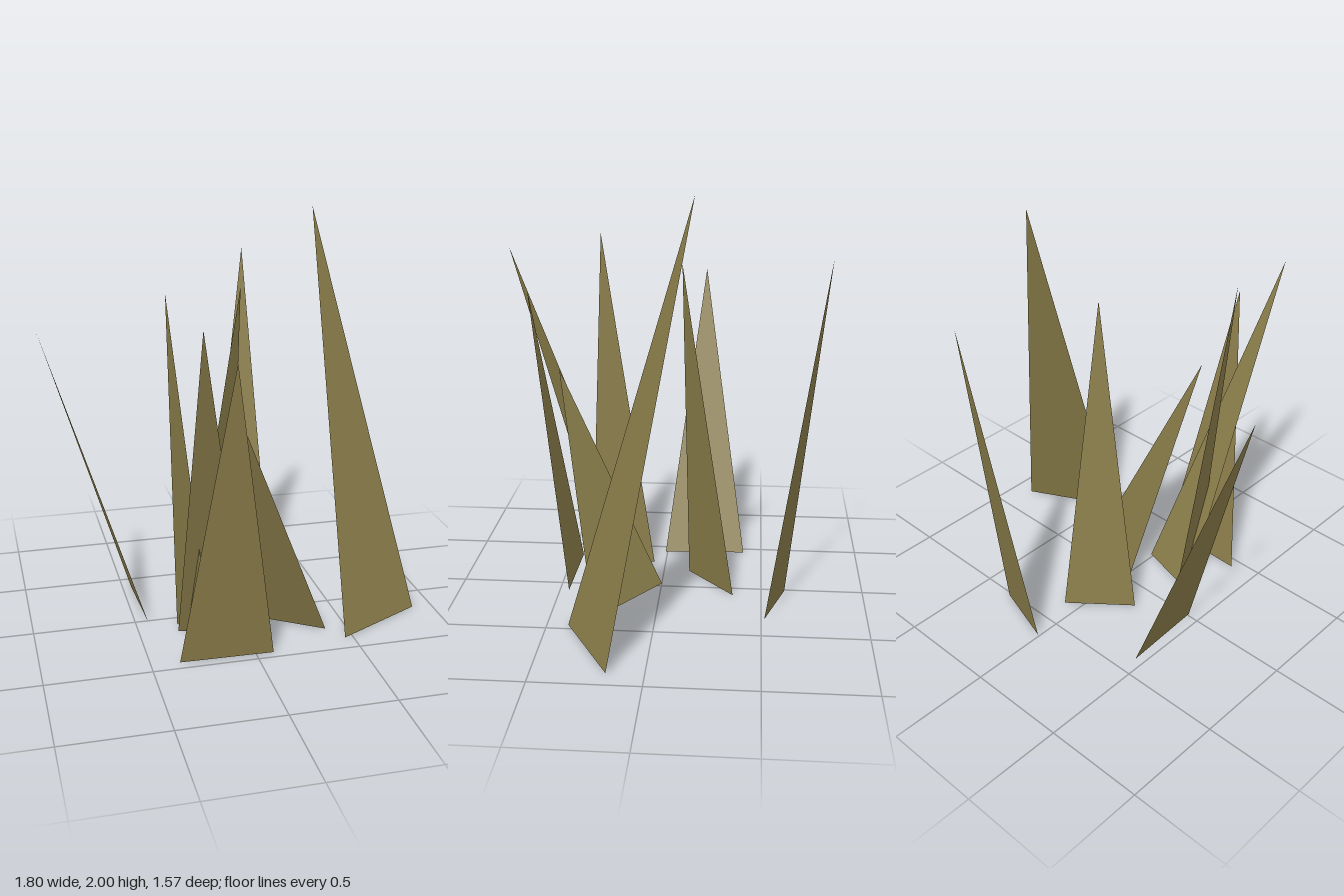
import * as THREE from 'three';

// Each blade: base corner (x, z), base corner (x, z), tip (x, y, z)
const BLADES = [
  [[0.01, -0.615], [0.33, -0.515], [0.24, 1.71, -0.785]],
  [[-0.437, 0.01], [-0.455, -0.405], [-0.9, 1.46, -0.178]],
  [[-0.195, -0.13], [0.08, -0.36], [0.063, 1.645, -0.103]],
  [[0.46, 0.4], [0.9, 0.17], [0.435, 2.0, -0.178]],
  [[-0.03, 0.0], [0.395, 0.29], [-0.058, 1.1, 0.503]],
  [[-0.19, 0.373], [-0.3, 0.06], [-0.383, 1.72, 0.333]],
  [[-0.31, 0.14], [0.016, 0.228], [-0.315, 1.655, 0.783]],
  [[-0.363, 0.445], [0.085, 0.455], [-0.143, 1.48, 0.667]],
];

// A flat triangular blade standing on the ground
function bladeGeometry([a, b, tip]) {
  const geometry = new THREE.BufferGeometry();
  const corners = [a[0], 0, a[1], b[0], 0, b[1], ...tip];
  geometry.setAttribute('position', new THREE.Float32BufferAttribute(corners, 3));
  geometry.computeVertexNormals();
  return geometry;
}

export function createModel() {
  const group = new THREE.Group();
  group.name = 'grassTuft';
  const dryGrass = new THREE.MeshStandardMaterial({ color: 0x8a7d4a, side: THREE.DoubleSide });
  dryGrass.name = 'dry grass olive';

  // Loose tuft of leaning blades
  BLADES.forEach((blade, i) => {
    const mesh = new THREE.Mesh(bladeGeometry(blade), dryGrass);
    mesh.name = `grassBlade${i + 1}`;
    group.add(mesh);
  });
  return group;
}
